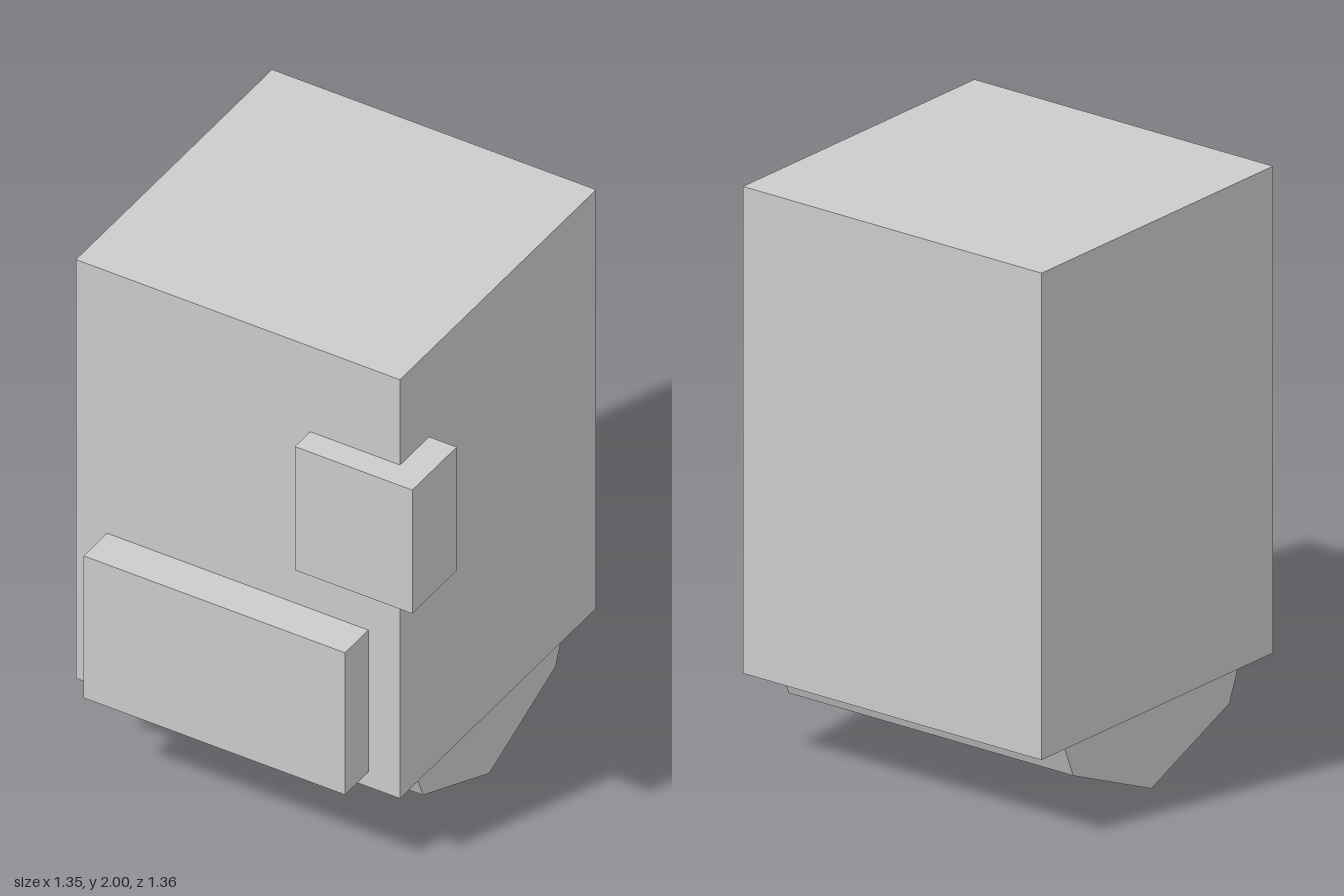
import * as THREE from 'three';

const grey = new THREE.MeshStandardMaterial({ color: 0xcccccc, name: 'light grey' });
grey.flatShading = true;

// Box given by its lower and upper corners
function block(name, [x0, y0, z0], [x1, y1, z1]) {
  const mesh = new THREE.Mesh(new THREE.BoxGeometry(x1 - x0, y1 - y0, z1 - z0), grey);
  mesh.position.set((x0 + x1) / 2, (y0 + y1) / 2, (z0 + z1) / 2);
  mesh.name = name;
  return mesh;
}

export function createModel() {
  const model = new THREE.Group();
  model.name = 'boxBody';

  model.add(
    block('body', [-0.675, 0.295, -0.68], [0.567, 2, 0.535]),
    block('frontPanel', [-0.555, 0.355, 0.5], [0.446, 0.933, 0.68]),
    block('cornerBlock', [0.223, 1.15, 0.355], [0.673, 1.653, 0.63]),
  );

  // Wedge-shaped keel: profile in (z, y), extruded across x
  const profile = new THREE.Shape([
    [-0.53, 0.295], [-0.48, 0.172], [-0.07, 0], [0.34, 0.172], [0.39, 0.295],
  ].map(([z, y]) => new THREE.Vector2(z, y)));
  const geometry = new THREE.ExtrudeGeometry(profile, { depth: 1.183, bevelEnabled: false });
  geometry.rotateY(-Math.PI / 2).translate(0.535, 0, 0);
  const keel = new THREE.Mesh(geometry, grey);
  keel.name = 'keel';
  model.add(keel);

  return model;
}
